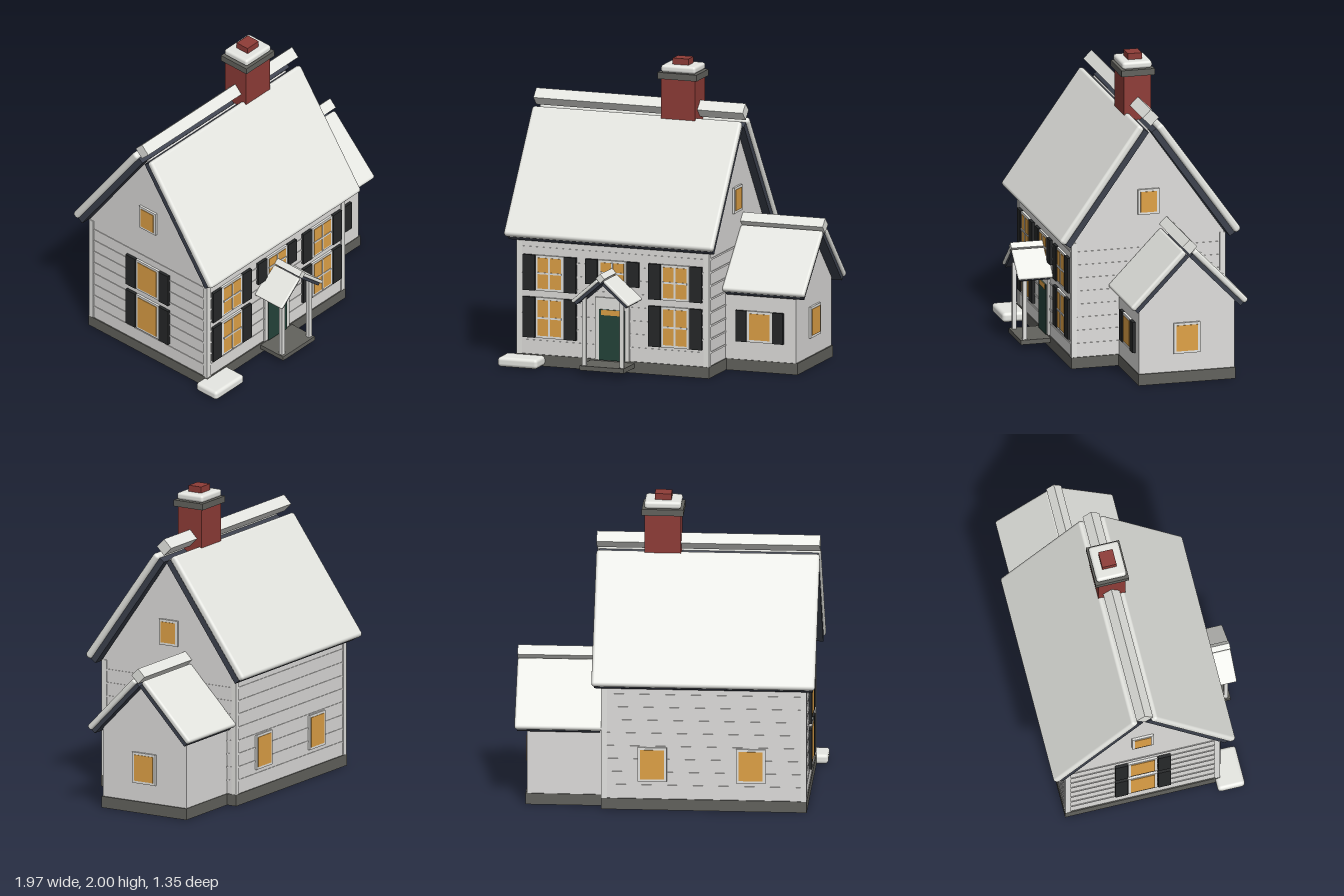
import * as THREE from 'three';
import { RoundedBoxGeometry } from 'three/addons/geometries/RoundedBoxGeometry.js';

const mat = (name, color) => {
  const m = new THREE.MeshStandardMaterial({ color });
  m.name = name;
  return m;
};

export function createModel() {
  const house = new THREE.Group();
  house.name = 'house';

  const wall = mat('wall paint', 0xdedddb);
  const trim = mat('trim paint', 0xe3e3e0);
  const snow = mat('snow', 0xeeefea);
  const slate = mat('slate', 0x3c414d);
  const stone = mat('stone', 0x62625d);
  const brick = mat('brick', 0x8e3c37);
  const glow = mat('lit window', 0xdfa146);
  const shutterPaint = mat('shutter paint', 0x262829);
  const doorPaint = mat('door paint', 0x24433a);

  const add = (parent, name, geo, material, x, y, z) => {
    const m = new THREE.Mesh(geo, material);
    m.name = name;
    m.position.set(x, y, z);
    parent.add(m);
    return m;
  };
  const box = (parent, name, material, w, h, d, x, y, z) =>
    add(parent, name, new THREE.BoxGeometry(w, h, d), material, x, y, z);
  const soft = (parent, name, material, w, h, d, r, x, y, z) =>
    add(parent, name, new RoundedBoxGeometry(w, h, d, 2, r), material, x, y, z);
  const group = (name, x, y, z, ry = 0) => {
    const g = new THREE.Group();
    g.name = name;
    g.position.set(x, y, z);
    g.rotation.y = ry;
    house.add(g);
    return g;
  };

  // House body with gable ends, ridge along x
  const gableBody = (name, x0, x1, cz, half, eave, apex) => {
    const s = new THREE.Shape();
    s.moveTo(-half, 0.05);
    s.lineTo(half, 0.05);
    s.lineTo(half, eave);
    s.lineTo(0, apex);
    s.lineTo(-half, eave);
    s.closePath();
    const geo = new THREE.ExtrudeGeometry(s, { depth: x1 - x0, bevelEnabled: false });
    add(house, name, geo, wall, x0, 0, cz).rotation.y = Math.PI / 2;
  };

  // Two slate slopes under snow, plus a square ridge cap; ridge along local x.
  // The line from (r, yr) to (e, ye) is the top of the snow, measured from the ridge.
  const gableRoof = (g, len, e, ye, r, yr, tSnow, tSlate, capY, capHalf) => {
    const a = Math.atan2(yr - ye, e - r);
    const L = Math.hypot(yr - ye, e - r);
    for (const s of [1, -1]) {
      const place = (m, depth) => {
        m.position.set(0, (ye + yr) / 2 - Math.cos(a) * depth, s * ((e + r) / 2 - Math.sin(a) * depth));
        m.rotation.x = s * a;
      };
      place(soft(g, 'roofSnow', snow, len, tSnow, L, tSnow * 0.4, 0, 0, 0), tSnow / 2);
      place(box(g, 'roofSlope', slate, len - 0.03, tSlate, L - 0.015, 0, 0, 0), tSnow + tSlate / 2);
    }
    const side = capHalf * Math.SQRT2;
    box(g, 'ridgeCap', snow, len, side, side, 0, capY, 0).rotation.x = Math.PI / 4;
  };

  // Window facing local +z, optionally with glazing bars and shutters
  const windowUnit = (x, y, z, ry, w, h, { bars = false, shutterW = 0, shutterH = h } = {}) => {
    const g = group('window', x, y, z, ry);
    box(g, 'windowFrame', trim, w, h, 0.02, 0, 0, 0.005);
    box(g, 'windowPane', glow, w - 0.034, h - 0.032, 0.005, 0, 0, 0.016);
    if (bars) {
      box(g, 'glazingBar', trim, 0.012, h - 0.03, 0.008, 0, 0, 0.018);
      box(g, 'glazingBar', trim, w - 0.03, 0.012, 0.008, 0, 0, 0.018);
    }
    if (shutterW) for (const s of [1, -1]) {
      box(g, 'shutter', shutterPaint, shutterW, shutterH, 0.024, s * (w / 2 + shutterW / 2 + 0.004), 0, 0.008);
    }
  };

  // Main house
  const CX = -0.245, CZ = -0.065, HX = 0.66, HZ = 0.51;
  gableBody('mainWalls', CX - HX, CX + HX, CZ, HZ, 0.85, 1.575);
  box(house, 'mainFoundation', stone, 1.335, 0.075, 1.035, CX, 0.0375, CZ);
  gableRoof(group('mainRoof', CX, 0, CZ), 1.45, 0.613, 0.873, 0.078, 1.625, 0.05, 0.04, 1.67, 0.055);
  for (const sx of [1, -1]) for (const sz of [1, -1]) {
    box(house, 'cornerBoard', trim, 0.037, 0.77, 0.037, CX + sx * (HX - 0.0125), 0.46, CZ + sz * (HZ - 0.0125));
  }

  // Clapboard lines
  for (let i = 1; i <= 8; i++) {
    const y = 0.075 + i * 0.088;
    for (const s of [1, -1]) {
      box(house, 'clapboard', wall, HX * 2 - 0.04, 0.012, 0.008, CX, y, CZ + s * HZ);
      box(house, 'clapboard', wall, 0.008, 0.012, HZ * 2 - 0.04, CX + s * HX, y, CZ);
    }
  }

  // Side wing
  const WZ = -0.188;
  gableBody('wingWalls', 0.4, 0.905, WZ, 0.32, 0.535, 0.865);
  box(house, 'wingFoundation', stone, 0.515, 0.075, 0.65, 0.6575, 0.0375, WZ);
  gableRoof(group('wingRoof', 0.7, 0, WZ), 0.57, 0.398, 0.545, 0.045, 0.91, 0.04, 0.028, 0.93, 0.05);

  // Front windows
  const FZ = CZ + HZ;
  for (const x of [-0.68, 0.19]) {
    windowUnit(x, 0.615, FZ, 0, 0.195, 0.235, { bars: true, shutterW: 0.083 });
    windowUnit(x, 0.32, FZ, 0, 0.195, 0.268, { bars: true, shutterW: 0.083 });
  }
  windowUnit(CX, 0.65, FZ, 0, 0.195, 0.165, { bars: true, shutterW: 0.083, shutterH: 0.165 });
  windowUnit(0.655, 0.298, WZ + 0.32, 0, 0.175, 0.205, { shutterW: 0.073 });

  // Side and back windows
  const R = Math.PI / 2;
  windowUnit(CX + HX, 1.09, CZ, R, 0.143, 0.17);
  windowUnit(CX - HX, 1.09, CZ, -R, 0.143, 0.17);
  windowUnit(0.905, 0.3, WZ, R, 0.178, 0.205);
  windowUnit(CX - HX, 0.615, CZ, -R, 0.195, 0.235, { shutterW: 0.083 });
  windowUnit(CX - HX, 0.32, CZ, -R, 0.195, 0.268, { shutterW: 0.083 });
  for (const x of [0.09, -0.55]) windowUnit(x, 0.31, CZ - HZ, Math.PI, 0.19, 0.23);

  // Front door
  const door = group('frontDoor', CX, 0, FZ);
  box(door, 'doorSurround', trim, 0.235, 0.41, 0.02, 0, 0.28, 0.004);
  box(door, 'doorLeaf', doorPaint, 0.175, 0.335, 0.012, 0, 0.24, 0.014);
  box(door, 'transomLight', glow, 0.145, 0.035, 0.008, 0, 0.388, 0.019);

  // Porch
  const porch = group('porch', CX, 0, 0);
  box(porch, 'porchStep', stone, 0.305, 0.03, 0.22, 0, 0.05, 0.54);
  for (const s of [1, -1]) box(porch, 'porchPost', trim, 0.026, 0.45, 0.026, s * 0.13, 0.288, 0.62);
  gableRoof(group('porchRoof', CX, 0, 0.562, R), 0.235, 0.205, 0.495, 0.03, 0.648, 0.022, 0.02, 0.655, 0.03);

  // Chimney
  const chimney = group('chimney', 0.048, 0, -0.062);
  box(chimney, 'chimneyStack', brick, 0.235, 0.5, 0.18, 0, 1.62, 0);
  box(chimney, 'chimneyCap', stone, 0.27, 0.042, 0.222, 0, 1.89, 0);
  soft(chimney, 'chimneySnow', snow, 0.24, 0.048, 0.2, 0.018, 0, 1.935, 0);
  box(chimney, 'chimneyPot', brick, 0.108, 0.1, 0.095, 0, 1.95, 0);

  // Snow drift by the front corner
  soft(house, 'snowDrift', snow, 0.275, 0.064, 0.18, 0.022, -0.852, 0.037, 0.51);

  return house;
}
